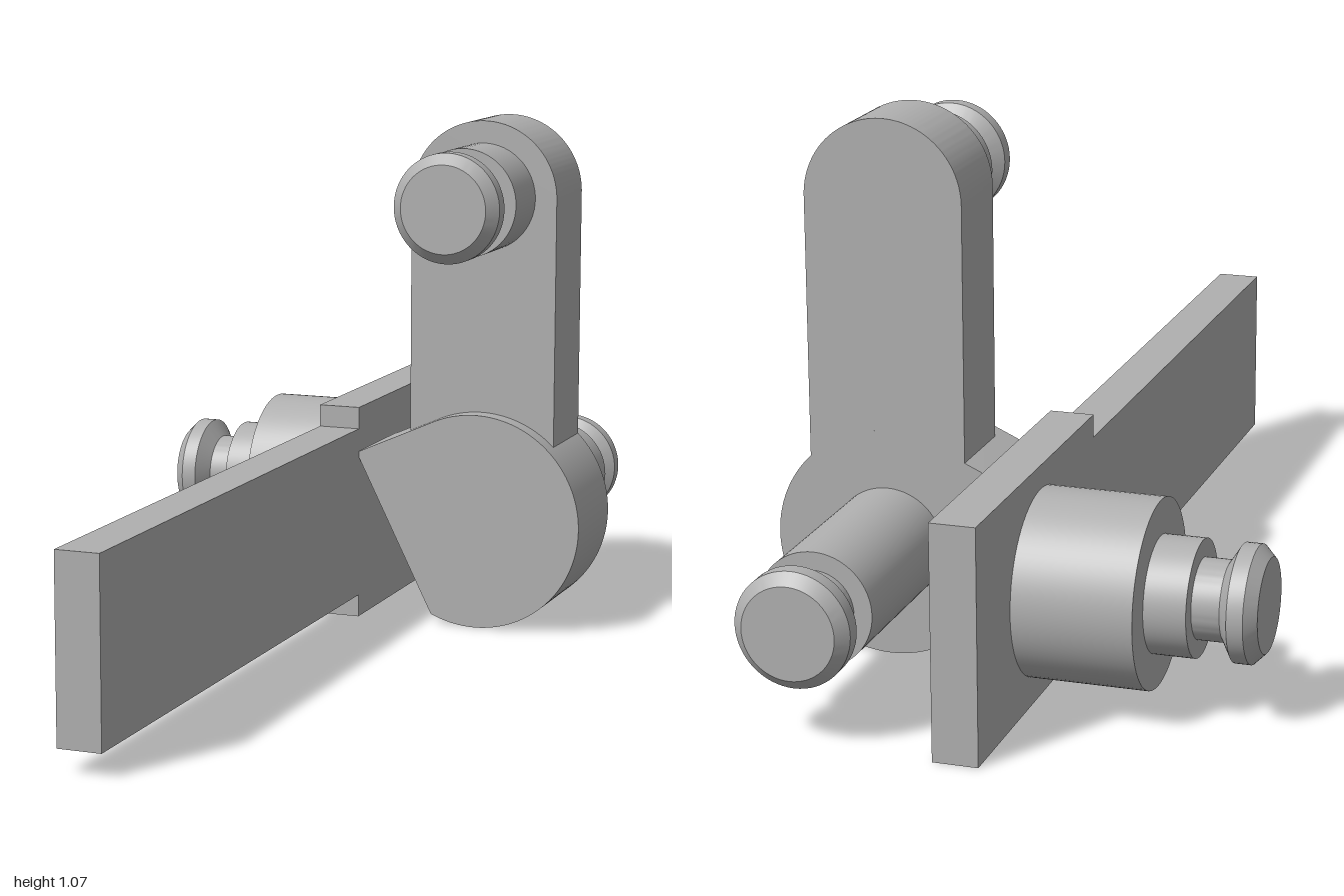
import * as THREE from 'three';
import { toCreasedNormals } from 'three/addons/utils/BufferGeometryUtils.js';

export function createModel() {
  const model = new THREE.Group();
  model.name = 'leverBracket';
  const grey = new THREE.MeshStandardMaterial({ color: 0xb0b0b0 });
  grey.name = 'plain grey';

  const add = (name, geometry) => {
    const mesh = new THREE.Mesh(toCreasedNormals(geometry, 0.35), grey);
    mesh.name = name;
    model.add(mesh);
    return mesh;
  };
  const extrude = (shape, depth) =>
    new THREE.ExtrudeGeometry(shape, { depth, bevelEnabled: false, curveSegments: 48 });

  // Grooved pin along +y: optional wide boss, shaft, neck, chamfered head
  const pin = (shaftEnd, boss) => {
    const profile = [[0, 0]];
    if (boss) profile.push([boss.radius, 0], [boss.radius, boss.length], [0.112, boss.length]);
    else profile.push([0.112, 0]);
    profile.push(
      [0.112, shaftEnd], [0.077, shaftEnd],
      [0.077, shaftEnd + 0.053], [0.112, shaftEnd + 0.075],
      [0.112, shaftEnd + 0.106], [0.09, shaftEnd + 0.128], [0, shaftEnd + 0.128]
    );
    return new THREE.LatheGeometry(profile.map(([r, y]) => new THREE.Vector2(r, y)), 64);
  };

  const hubX = 0.279, hubY = 0.227, armY = 0.907;

  // Long plate with a taller rear section, drawn in (z, y)
  const plate = new THREE.Shape([
    [-0.967, 0], [-0.277, 0], [-0.277, 0.047], [1, 0.047],
    [1, 0.408], [-0.277, 0.408], [-0.277, 0.454], [-0.967, 0.454]
  ].map(([z, y]) => new THREE.Vector2(z, y)));
  add('steppedPlate', extrude(plate, 0.088).rotateY(-Math.PI / 2).translate(0.02, 0, 0));

  // Teardrop hub tapering into the plate
  const hub = new THREE.Shape();
  const tangent = THREE.MathUtils.degToRad(114.8);
  hub.moveTo(0.015, 0.097);
  hub.absarc(hubX, hubY, 0.227, -tangent, tangent, false);
  hub.lineTo(0.015, 0.357);
  add('teardropHub', extrude(hub, 0.219).translate(0, 0, -0.496));

  // Upright arm with round ends, flush with the back of the hub
  const arm = new THREE.Shape();
  arm.absarc(hubX, armY, 0.158, 0, Math.PI, false);
  arm.absarc(hubX, hubY, 0.158, Math.PI, Math.PI * 2, false);
  add('uprightArm', extrude(arm, 0.178).translate(0, 0, -0.496));

  // Pins: forward on the arm, backward on the hub, sideways on the plate
  add('armPin', pin(0.131).rotateX(Math.PI / 2).translate(hubX, armY, -0.319));
  add('hubPin', pin(0.377).rotateX(-Math.PI / 2).translate(hubX, hubY, -0.495));
  add('platePin', pin(0.313, { radius: 0.181, length: 0.232 })
    .rotateZ(Math.PI / 2).translate(-0.067, hubY, -0.605));

  return model;
}
